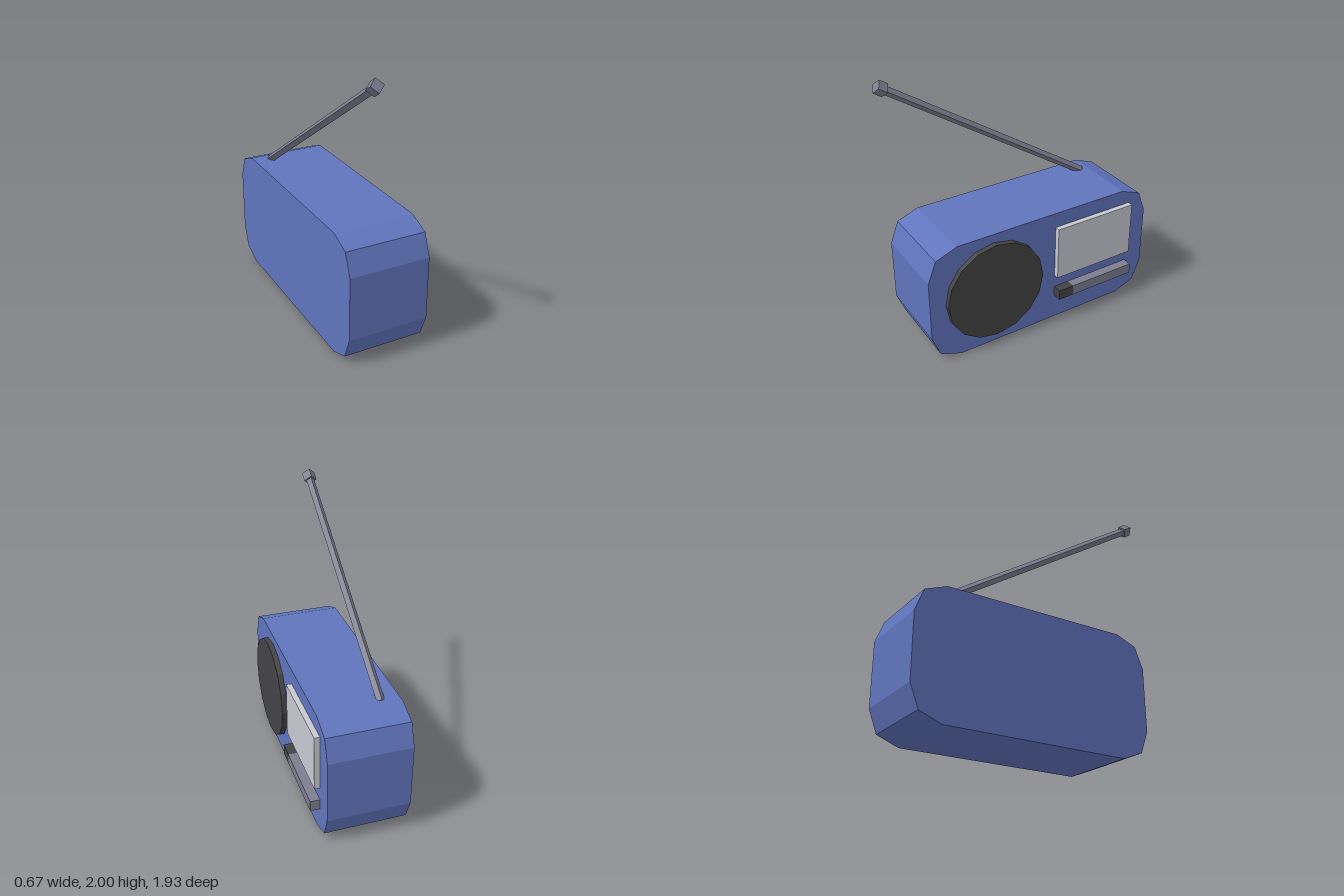
import * as THREE from 'three';

const mat = (name, color) => {
  const m = new THREE.MeshStandardMaterial({ color });
  m.name = name;
  m.flatShading = true;
  return m;
};

export function createModel() {
  const blue = mat('case blue', 0x6074bd);
  const dark = mat('charcoal', 0x434345);
  const pale = mat('pale grey', 0xc8c8d2);
  const metal = mat('metal grey', 0x7d7d90);

  const radio = new THREE.Group();
  radio.name = 'radio';
  const add = (name, geometry, material, parent = radio) => {
    const mesh = new THREE.Mesh(geometry, material);
    mesh.name = name;
    parent.add(mesh);
    return mesh;
  };

  // Case: a rectangle with two-step chamfered corners, extruded along x
  const hw = 0.922, hh = 0.46;
  const corner = [[hw, hh - 0.225], [hw - 0.063, hh - 0.063], [hw - 0.225, hh]];
  const outline = [];
  for (const [sx, sy] of [[1, 1], [-1, 1], [-1, -1], [1, -1]]) {
    const pts = sx * sy > 0 ? corner : [...corner].reverse();
    for (const [u, v] of pts) outline.push(new THREE.Vector2(sx * u + 0.042, sy * v + hh));
  }
  const caseGeo = new THREE.ExtrudeGeometry(new THREE.Shape(outline), { depth: 0.597, bevelEnabled: false });
  caseGeo.rotateY(Math.PI / 2).translate(-0.335, 0, 0);
  add('case', caseGeo, blue);

  // Speaker disc
  const speaker = add('speaker', new THREE.CylinderGeometry(0.386, 0.386, 0.06, 16), dark);
  speaker.rotation.z = -Math.PI / 2;
  speaker.position.set(0.272, 0.467, 0.373);

  // Blocks on the control face, given by their outer x and their y and z ranges
  const block = (name, x, y0, y1, z0, z1, material) => {
    add(name, new THREE.BoxGeometry(x - 0.25, y1 - y0, z1 - z0), material)
      .position.set((x + 0.25) / 2, (y0 + y1) / 2, (z0 + z1) / 2);
  };
  block('displayPanel', 0.302, 0.382, 0.803, -0.807, -0.143, pale);
  block('tuningBar', 0.332, 0.2, 0.281, -0.807, -0.267, metal);
  block('tuningKnob', 0.332, 0.2, 0.281, -0.267, -0.143, dark);

  // Antenna: a leaning square rod with a thicker tip, origin at the tip's centre
  const antenna = new THREE.Group();
  antenna.name = 'antenna';
  antenna.position.set(-0.2, 1.942, 0.907);
  antenna.rotation.x = Math.atan2(0.84, 0.545);
  radio.add(antenna);
  add('antennaTip', new THREE.CylinderGeometry(0.048, 0.048, 0.07, 4), metal, antenna);
  add('antennaRod', new THREE.CylinderGeometry(0.03, 0.03, 1.9, 4), metal, antenna).position.y = -0.95;

  return radio;
}
